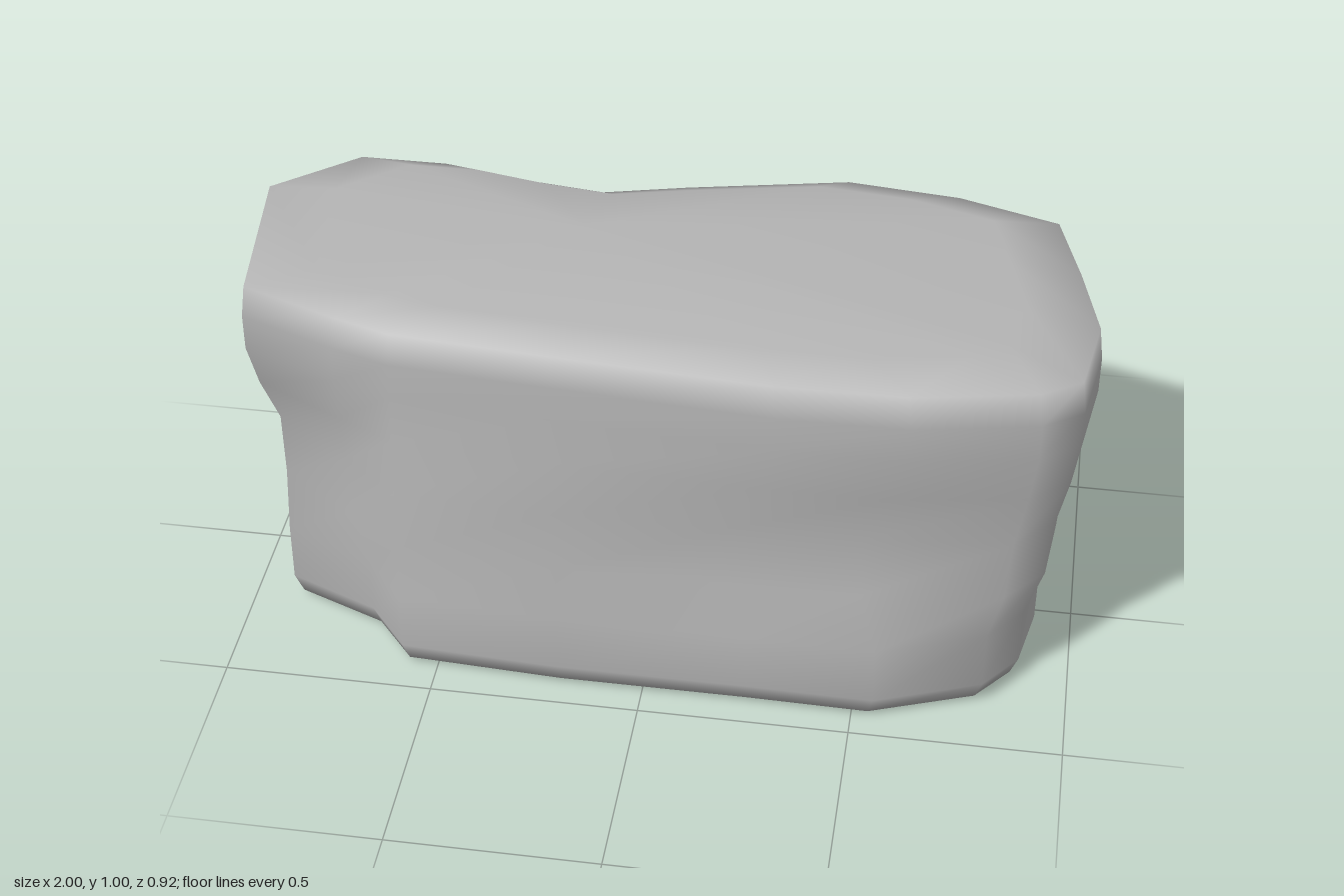
import * as THREE from 'three';

// Plan outlines (x, z pairs, clockwise from above) at three heights
const LOW = [-.92, -.15, -.82, -.33, -.6, -.42, -.4, -.44, -.18, -.42, .05, -.28, .35, -.43, .6, -.46, .87, -.34, .91, -.1,
  .91, .1, .88, .26, .8, .36, .55, .455, .25, .45, -.2, .45, -.58, .43, -.68, .31, -.9, .22];
const MID = [-.92, -.15, -.8, -.34, -.6, -.37, -.4, -.36, -.2, -.32, 0, -.3, .35, -.43, .65, -.43, .87, -.34, .93, -.1,
  .945, .1, .93, .28, .84, .38, .5, .41, .2, .415, -.2, .43, -.58, .41, -.72, .3, -.91, .16];
const HIGH = [-1, -.2, -.81, -.39, -.6, -.39, -.4, -.34, -.2, -.31, 0, -.37, .38, -.465, .65, -.43, .89, -.34, .95, -.1,
  1, .12, .97, .33, .88, .39, .6, .445, .3, .45, -.2, .415, -.58, .385, -.72, .34, -.95, .25];

// Each ring: height, scale in x, scale of the back half, scale of the front half
const RINGS = [
  [.018, .98, .95, .96], [.07, 1, 1, 1], [.22, 1, 1, 1], [.36, 1, 1, 1], [.52, 1, 1, 1],
  [.66, 1, 1, 1], [.78, 1, 1, 1], [.87, 1, .92, 1], [.95, .99, .85, .98], [.982, .82, .68, .78],
];

// Outline coordinate k at height y, blended between the three plans
function outline(k, y) {
  const s = THREE.MathUtils.smoothstep;
  return y < .5
    ? THREE.MathUtils.lerp(LOW[k], MID[k], s(y, .2, .42))
    : THREE.MathUtils.lerp(MID[k], HIGH[k], s(y, .48, .78));
}

function boulderGeometry() {
  const n = LOW.length / 2, positions = [], index = [];
  for (const [y, sx, back, front] of RINGS) {
    for (let i = 0; i < n; i++) {
      const z = outline(2 * i + 1, y);
      positions.push(outline(2 * i, y) * sx, y, z * (z < 0 ? back : front));
    }
  }
  const last = (RINGS.length - 1) * n, bottom = RINGS.length * n, top = bottom + 1;
  positions.push(0, .003, 0, -.2, 1.008, -.03);
  for (let i = 0; i < n; i++) {
    const j = (i + 1) % n;
    for (let r = 0; r < last; r += n) {
      index.push(r + i, r + n + i, r + j, r + j, r + n + i, r + n + j);
    }
    index.push(bottom, i, j, top, last + j, last + i);
  }
  const geometry = new THREE.BufferGeometry();
  geometry.setAttribute('position', new THREE.Float32BufferAttribute(positions, 3));
  geometry.setIndex(index);
  geometry.computeVertexNormals();
  return geometry;
}

export function createModel() {
  const group = new THREE.Group();
  group.name = 'rock';
  const stone = new THREE.MeshStandardMaterial({ color: 0xb4b4b4 });
  stone.name = 'stone grey';
  const boulder = new THREE.Mesh(boulderGeometry(), stone);
  boulder.name = 'boulder';
  group.add(boulder);
  return group;
}
